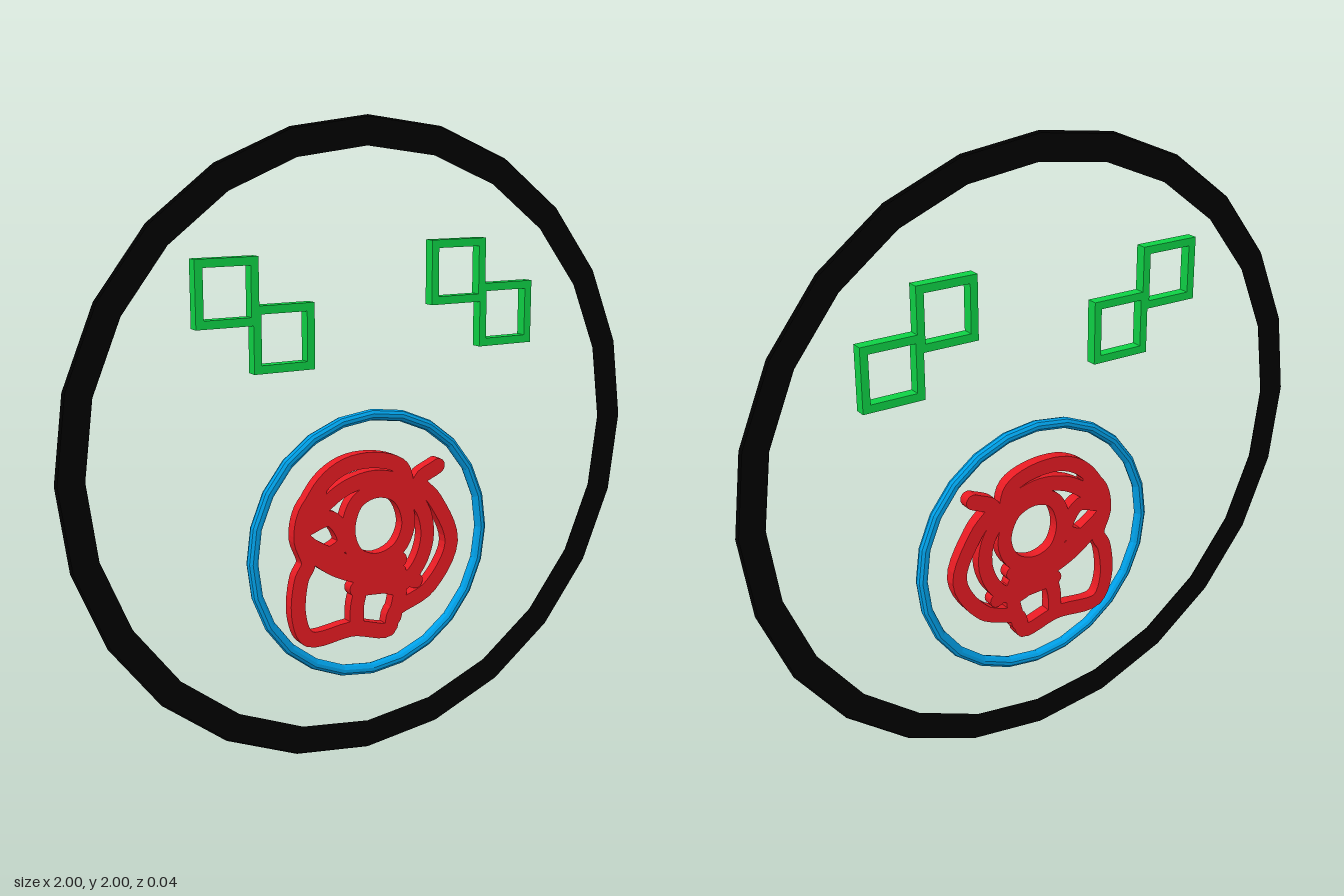
import * as THREE from 'three';

const material = (name, color) => {
  const m = new THREE.MeshStandardMaterial({ color });
  m.name = name;
  return m;
};

const HALF = 0.018; // half of the depth shared by every part

// Flat ribbon with a rectangular section, swept along a path in the xy plane
function strokeGeometry(points, closed, halfWidth) {
  const curve = new THREE.CatmullRomCurve3(
    points.map(([x, y]) => new THREE.Vector3(x, y, 0)), closed, 'centripetal');
  const n = points.length * 5;
  const rings = [];
  for (let i = 0; i <= n; i++) {
    const p = curve.getPoint(i / n), t = curve.getTangent(i / n);
    const nx = -t.y * halfWidth, ny = t.x * halfWidth;
    rings.push([
      [p.x + nx, p.y + ny, HALF], [p.x + nx, p.y + ny, -HALF],
      [p.x - nx, p.y - ny, -HALF], [p.x - nx, p.y - ny, HALF],
    ]);
  }
  const pos = [];
  for (let i = 0; i < n; i++) {
    for (let k = 0; k < 4; k++) {
      const j = (k + 1) % 4;
      const a = rings[i][k], b = rings[i + 1][k], c = rings[i + 1][j], d = rings[i][j];
      pos.push(...a, ...b, ...c, ...a, ...c, ...d);
    }
  }
  const g = new THREE.BufferGeometry();
  g.setAttribute('position', new THREE.Float32BufferAttribute(pos, 3));
  g.computeVertexNormals();
  return g;
}

// Square frame with an open middle
function frameGeometry(size, bar) {
  const square = (C, h) => new C([[-h, -h], [h, -h], [h, h], [-h, h]].map(([x, y]) => new THREE.Vector2(x, y)));
  const shape = square(THREE.Shape, size / 2);
  shape.holes.push(square(THREE.Path, size / 2 - bar));
  return new THREE.ExtrudeGeometry(shape, { depth: 2 * HALF, bevelEnabled: false }).translate(0, 0, -HALF);
}

export function createModel() {
  const model = new THREE.Group();
  const black = material('black', 0x000000);
  const green = material('green', 0x0ed145);
  const blue = material('blue', 0x00a8f3);
  const red = material('red', 0xec1c24);
  black.flatShading = blue.flatShading = true;

  const add = (parent, name, geometry, mat, x = 0, y = 0) => {
    const mesh = new THREE.Mesh(geometry, mat);
    mesh.name = name;
    mesh.position.set(x, y, 0);
    parent.add(mesh);
    return mesh;
  };

  // Outer ring, flattened front to back
  add(model, 'outerRing', new THREE.TorusGeometry(0.955, 0.045, 12, 24).scale(1, 1, 0.4), black, 0, 1);

  // Small ring around the scribble
  add(model, 'innerRing', new THREE.TorusGeometry(0.415, 0.018, 10, 24), blue, 0.013, 0.683);

  // Eyes: two stepped square frames each
  const frame = frameGeometry(0.2, 0.025);
  for (const [name, x, y] of [['rightEye', -0.473, 1.503], ['leftEye', 0.32, 1.525]]) {
    const eye = new THREE.Group();
    eye.name = name;
    add(eye, 'upperSquare', frame, green, x, y);
    add(eye, 'lowerSquare', frame, green, x + 0.181, y - 0.143);
    model.add(eye);
  }

  // Scribble strokes, in hundredths of a unit
  const scribble = new THREE.Group();
  scribble.name = 'scribble';
  model.add(scribble);
  const strokes = [
    { name: 'outerStroke', path: [[25, 91], [18, 87], [24, 80], [30.5, 65], [22, 51], [9, 45], [7, 39.5],
      [-6, 42], [-22, 41.5], [-25.5, 49], [-24.5, 61], [-22, 66], [-24.5, 74], [-23, 82], [-18, 88]] },
    { name: 'wideLoop', closed: true, path: [[-24, 75], [-18, 89], [-9, 95], [3, 95.5], [11.5, 92], [14, 85],
      [20, 76], [21, 67], [17, 58], [9, 53], [-2, 61], [-14, 67]] },
    { name: 'centreLoop', closed: true, path: [[2.5, 86], [10.5, 83], [14, 74], [10.5, 66], [2.5, 63],
      [-5, 66], [-8, 74], [-5, 83]] },
    { name: 'upperArc', path: [[-22, 78], [-17, 83], [-9, 88], [1, 90], [11, 88]] },
    { name: 'leftCurl', path: [[-23, 77], [-14, 79], [-9.5, 71], [-17, 67.5], [-23, 71]] },
    { name: 'lowerLoop', path: [[-5, 42], [-4.5, 51], [0, 60], [10, 59], [11, 52], [9, 43]] },
    { name: 'crossStroke', path: [[-21, 69], [-12, 62.5], [0, 58], [12, 56], [17, 54]] },
    { name: 'fillStroke', path: [[-17, 68], [-6, 63], [5, 62], [11, 62]] },
    { name: 'lowerBar', path: [[-5, 55], [2, 54.5], [10, 54]] },
  ];
  const W = 0.025;
  const cap = new THREE.CylinderGeometry(W, W, 2 * HALF, 16).rotateX(Math.PI / 2);
  for (const { name, path, closed = false } of strokes) {
    const points = path.map(([x, y]) => [x / 100, y / 100]);
    add(scribble, name, strokeGeometry(points, closed, W), red);
    // Rounded joints and ends
    for (const [x, y] of points) add(scribble, name + 'Joint', cap, red, x, y);
  }
  return model;
}
